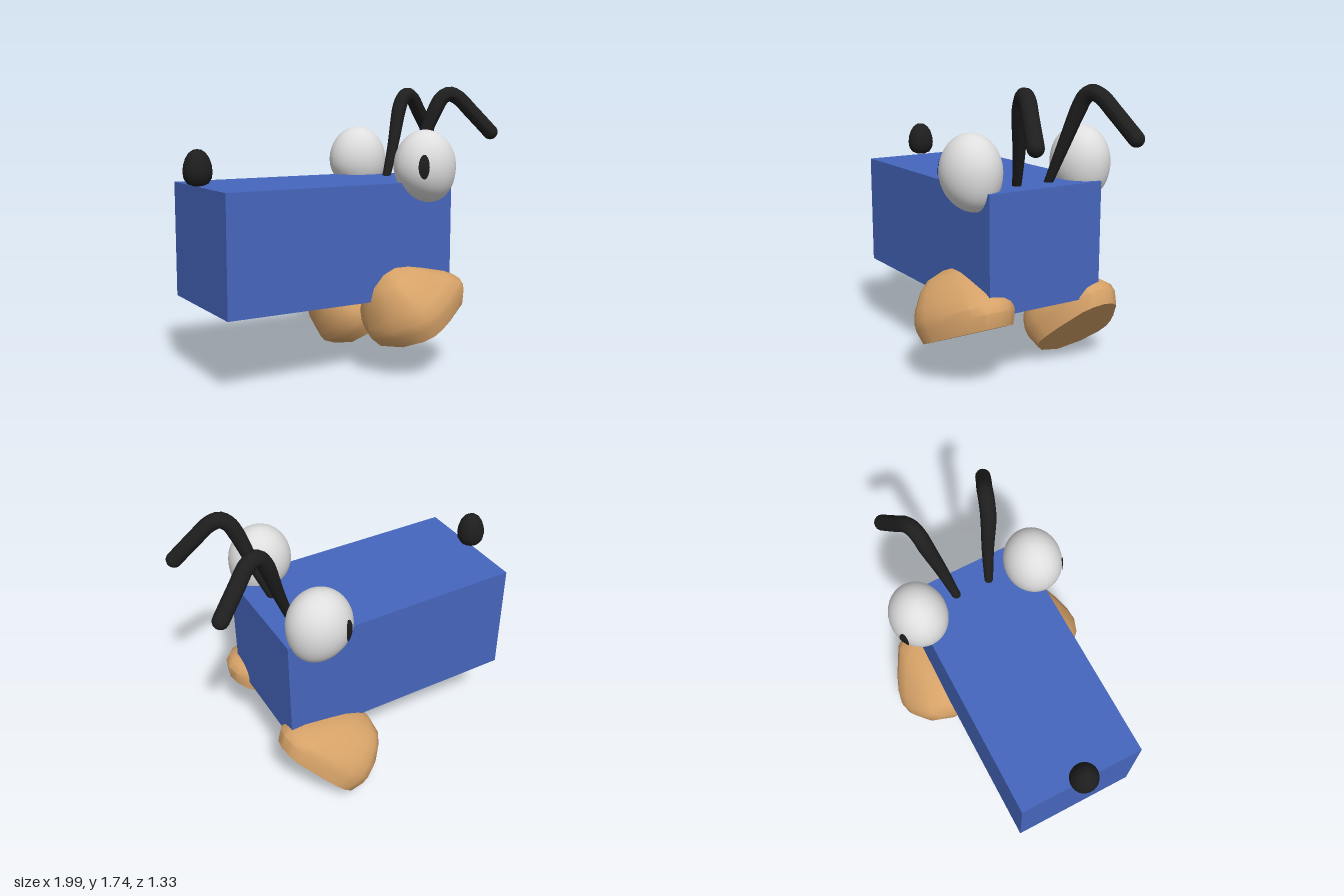
import * as THREE from 'three';
import { toCreasedNormals } from 'three/addons/utils/BufferGeometryUtils.js';

const MID_Z = 0.01;

// Move every vertex of a geometry by a rule
function warp(geo, rule) {
  const p = geo.attributes.position;
  const v = new THREE.Vector3();
  for (let i = 0; i < p.count; i++) {
    v.fromBufferAttribute(p, i);
    rule(v, i);
    p.setXYZ(i, v.x, v.y, v.z);
  }
  geo.computeVertexNormals();
  return geo;
}

// Foot: egg-shaped outlines stacked above a flat sole, toe at the local origin
function footGeometry() {
  const half = [[0, 0], [0.09, 0.6], [0.25, 0.93], [0.36, 1], [0.48, 0.95],
    [0.63, 0.82], [0.9, 0.5], [0.97, 0.28], [1, 0]];
  const outline = [...half, ...half.slice(1, -1).reverse().map(([s, w]) => [s, -w])];
  // height, heel, toe, half width
  const layers = [[0, -0.625, 0, 0.265], [0.08, -0.665, 0.045, 0.285], [0.13, -0.662, 0.035, 0.288],
    [0.2, -0.645, -0.03, 0.265], [0.3, -0.59, -0.17, 0.205], [0.36, -0.54, -0.26, 0.145],
    [0.4, -0.45, -0.35, 0.05]];
  const n = outline.length;
  const pos = [];
  const idx = [];
  for (const [h, heel, toe, w] of layers)
    for (const [s, k] of outline) pos.push(heel + (toe - heel) * s, h, w * k);
  for (let j = 0; j < layers.length - 1; j++)
    for (let i = 0; i < n; i++) {
      const a = j * n + i, b = j * n + (i + 1) % n;
      idx.push(a, b, b + n, a, b + n, a + n);
    }
  const top = (layers.length - 1) * n;
  for (let i = 1; i < n - 1; i++) {
    idx.push(0, i + 1, i);
    idx.push(top, top + i, top + i + 1);
  }
  const geo = new THREE.BufferGeometry();
  geo.setAttribute('position', new THREE.Float32BufferAttribute(pos, 3));
  geo.setIndex(idx);
  return toCreasedNormals(geo, 0.7);
}

// Lower half of the eye leans towards the front of the head
const lean = (v) => { if (v.y < 0) v.x += v.y * v.y * 0.7; };

function eyeGeometry() {
  const geo = new THREE.SphereGeometry(1, 40, 28);
  return warp(geo, (v) => {
    v.set(v.x * 0.195, v.y * 0.22, v.z * 0.175);
    lean(v);
  });
}

// Thin oval patch lying on the eye surface
function pupilGeometry(azimuth) {
  return warp(new THREE.RingGeometry(0, 1, 24, 4), (v) => {
    const az = azimuth + v.x * 0.17, el = v.y * 0.33 + 0.03;
    v.set(Math.sin(az) * Math.cos(el) * 0.195, Math.sin(el) * 0.22, Math.cos(az) * Math.cos(el) * 0.175);
    lean(v);
    v.multiplyScalar(1.02);
  });
}

// Bent feeler, thin at the root and thicker towards the tip
function antennaGeometry(curve) {
  const segs = 48, sides = 14;
  const geo = new THREE.TubeGeometry(curve, segs, 1, sides);
  return warp(geo, (v, i) => {
    const t = Math.floor(i / (sides + 1)) / segs;
    const c = curve.getPointAt(t);
    const r = 0.025 + 0.022 * Math.min(1, t / 0.5);
    v.sub(c).multiplyScalar(r).add(c);
  });
}

export function createModel() {
  const model = new THREE.Group();
  const mat = (name, color) => {
    const m = new THREE.MeshStandardMaterial({ color });
    m.name = name;
    return m;
  };
  const blue = mat('blue', 0x4666bd);
  const tan = mat('tan', 0xd6a268);
  const white = mat('eye white', 0xdedede);
  const black = mat('black', 0x1e1e1e);

  const add = (name, geo, material, x, y, z, parent = model) => {
    const m = new THREE.Mesh(geo, material);
    m.name = name;
    m.position.set(x, y, z);
    parent.add(m);
    return m;
  };

  add('body', new THREE.BoxGeometry(1.51, 0.703, 0.775), blue, -0.155, 0.8135, MID_Z);

  // Egg-shaped nose
  const profile = [[0, 0], [0.03, 0.002], [0.06, 0.014], [0.08, 0.045], [0.085, 0.08], [0.081, 0.12],
    [0.068, 0.16], [0.048, 0.19], [0.024, 0.207], [0, 0.211]].map(([x, y]) => new THREE.Vector2(x, y));
  add('nose', new THREE.LatheGeometry(profile, 28), black, -0.912, 1.17, MID_Z);

  for (const side of [1, -1]) {
    const label = side > 0 ? 'front' : 'back';

    // Eyes look outwards and towards the nose
    const eye = new THREE.Group();
    eye.name = label + 'Eye';
    eye.position.set(0.398, 1.26, MID_Z + side * 0.384);
    add(label + 'Eyeball', eyeGeometry(), white, 0, 0, 0, eye);
    add(label + 'Pupil', pupilGeometry(side > 0 ? -0.6 : Math.PI + 0.6), black, 0, 0, 0, eye);
    model.add(eye);

    const path = [[0.44, 1.13, 0.105], [0.53, 1.37, 0.15], [0.61, 1.6, 0.2], [0.645, 1.665, 0.213],
      [0.69, 1.694, 0.228], [0.745, 1.675, 0.247], [0.83, 1.585, 0.285], [0.947, 1.455, 0.335]];
    const curve = new THREE.CatmullRomCurve3(
      path.map(([x, y, z]) => new THREE.Vector3(x, y, MID_Z + side * z)));
    add(label + 'Antenna', antennaGeometry(curve), black, 0, 0, 0);
    add(label + 'AntennaTip', new THREE.SphereGeometry(0.047, 16, 12), black,
      0.947, 1.455, MID_Z + side * 0.335);

    // Feet share the toe height, the back one is tipped further
    const foot = add(label + 'Foot', footGeometry(), tan, 0.67, 0.43, side > 0 ? 0.38 : -0.37);
    foot.rotation.z = side > 0 ? 0.414 : 0.763;
  }
  return model;
}
